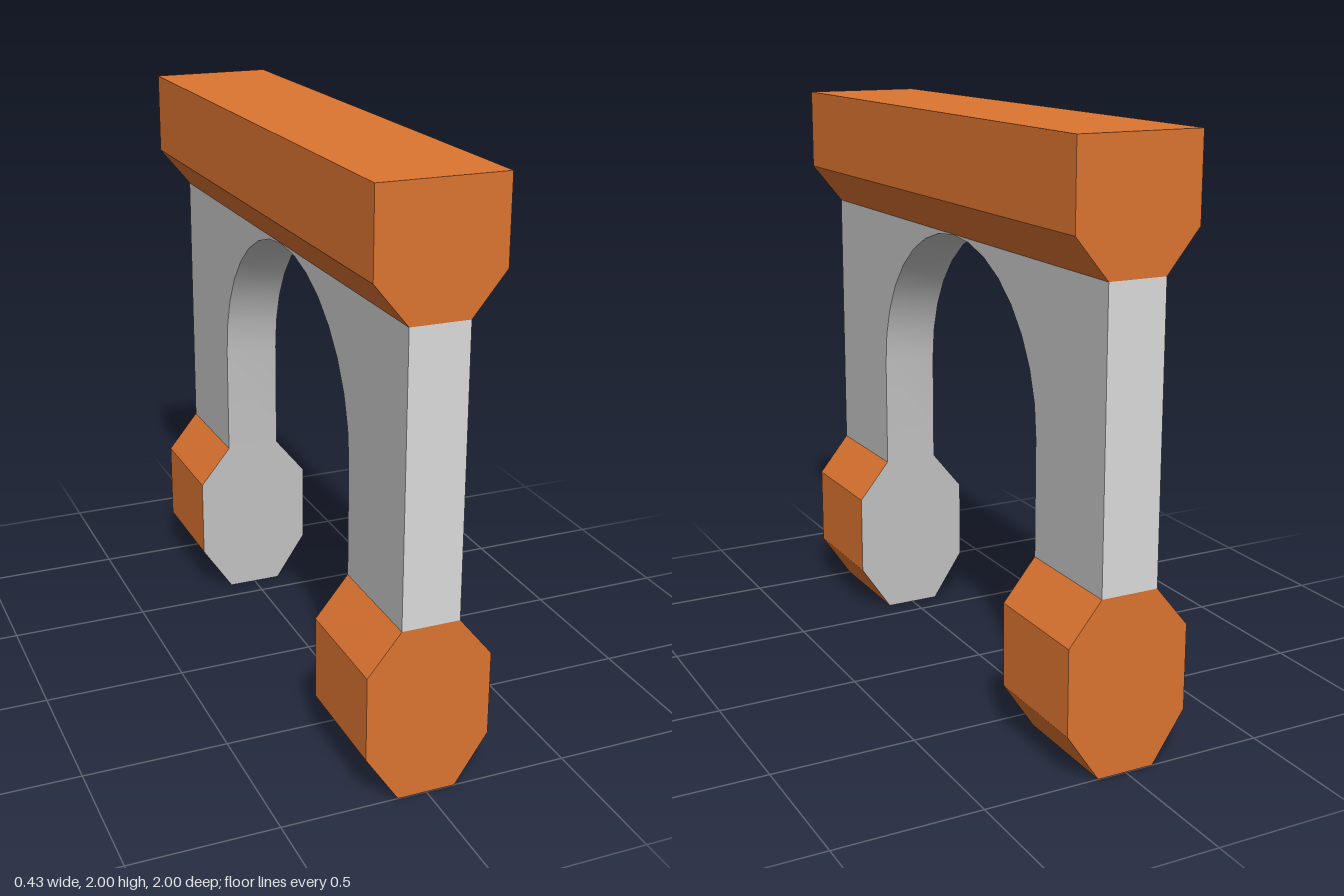
import * as THREE from 'three';
import { toCreasedNormals } from 'three/addons/utils/BufferGeometryUtils.js';

const material = (name, color) =>
  new THREE.MeshStandardMaterial({ name, color, side: THREE.DoubleSide });

// Open strip: a path in xy (outside on its right) swept along z
function strip(path, z0, z1) {
  const pos = [], index = [];
  path.forEach(([x, y], i) => {
    pos.push(x, y, z0, x, y, z1);
    const a = 2 * i;
    if (i < path.length - 1) index.push(a, a + 2, a + 3, a, a + 3, a + 1);
  });
  const geo = new THREE.BufferGeometry();
  geo.setAttribute('position', new THREE.Float32BufferAttribute(pos, 3));
  geo.setIndex(index);
  return toCreasedNormals(geo, 0.4);
}

// Flat plate from an outline, facing +z or -z
function plate(outline, z, facing = 1) {
  const geo = new THREE.ShapeGeometry(new THREE.Shape(outline.map(([x, y]) => new THREE.Vector2(x, y))));
  if (facing < 0) geo.rotateY(Math.PI);
  return geo.translate(0, 0, z);
}

export function createModel() {
  const model = new THREE.Group();
  model.name = 'archway';
  const orange = material('orange', 0xdc7430);
  const grey = material('grey', 0xc2c2c2);
  const lightGrey = material('light grey', 0xdcdcdc);

  const add = (parent, name, geo, mat) => {
    const mesh = new THREE.Mesh(geo, mat);
    mesh.name = name;
    parent.add(mesh);
  };

  const W = 0.214, T = 0.1;              // half widths of trim and wall
  const wallTop = 1.575, footTop = 0.6;
  const inner = 0.585, spring = 1.0;     // opening half width and arch springing

  // Top beam with chamfered underside
  const beam = new THREE.Group();
  beam.name = 'topBeam';
  model.add(beam);
  const beamOutline = [[-T, wallTop], [T, wallTop], [W, 1.715], [W, 2], [-W, 2], [-W, 1.715]];
  add(beam, 'beamSides', strip([...beamOutline, beamOutline[0]], -1, 1), orange);
  for (const s of [1, -1]) add(beam, 'beamEnd', plate(beamOutline, s, s), orange);

  // Wall, drawn in profile and turned so that its thickness runs along x
  const wall = new THREE.Group();
  wall.name = 'wall';
  wall.rotation.y = Math.PI / 2;
  model.add(wall);
  const opening = [[-inner, footTop]];
  for (let i = 0; i <= 16; i++) {
    const a = Math.PI * (1 - i / 16);
    opening.push([inner * Math.cos(a), spring + (wallTop - 0.002 - spring) * Math.sin(a)]);
  }
  opening.push([inner, footTop]);
  const wallOutline = [[1, footTop], [1, wallTop], [-1, wallTop], [-1, footTop], ...opening];
  for (const s of [1, -1]) add(wall, 'wallFace', plate(wallOutline, s * T, s), grey);
  add(wall, 'archSoffit', strip(opening, -T, T), grey);
  add(wall, 'wallEnd', strip([[1, footTop], [1, wallTop]], -T, T), lightGrey);
  add(wall, 'wallEnd', strip([[-1, wallTop], [-1, footTop]], -T, T), lightGrey);

  // Hollow octagonal feet, open underneath, with grey caps towards the opening
  const right = [[T, 0], [W, 0.17], [W, 0.46], [T, footTop]];
  const left = right.map(([x, y]) => [-x, y]).reverse();
  for (const s of [1, -1]) {
    const foot = new THREE.Group();
    foot.name = s > 0 ? 'frontFoot' : 'backFoot';
    model.add(foot);
    const z0 = s > 0 ? inner : -1, z1 = s > 0 ? 1 : -inner;
    add(foot, 'footSide', strip(right, z0, z1), orange);
    add(foot, 'footSide', strip(left, z0, z1), orange);
    add(foot, 'footOuterEnd', plate([...right, ...left], s, s), orange);
    add(foot, 'footInnerEnd', plate([...right, ...left], s * inner, -s), grey);
  }
  return model;
}
